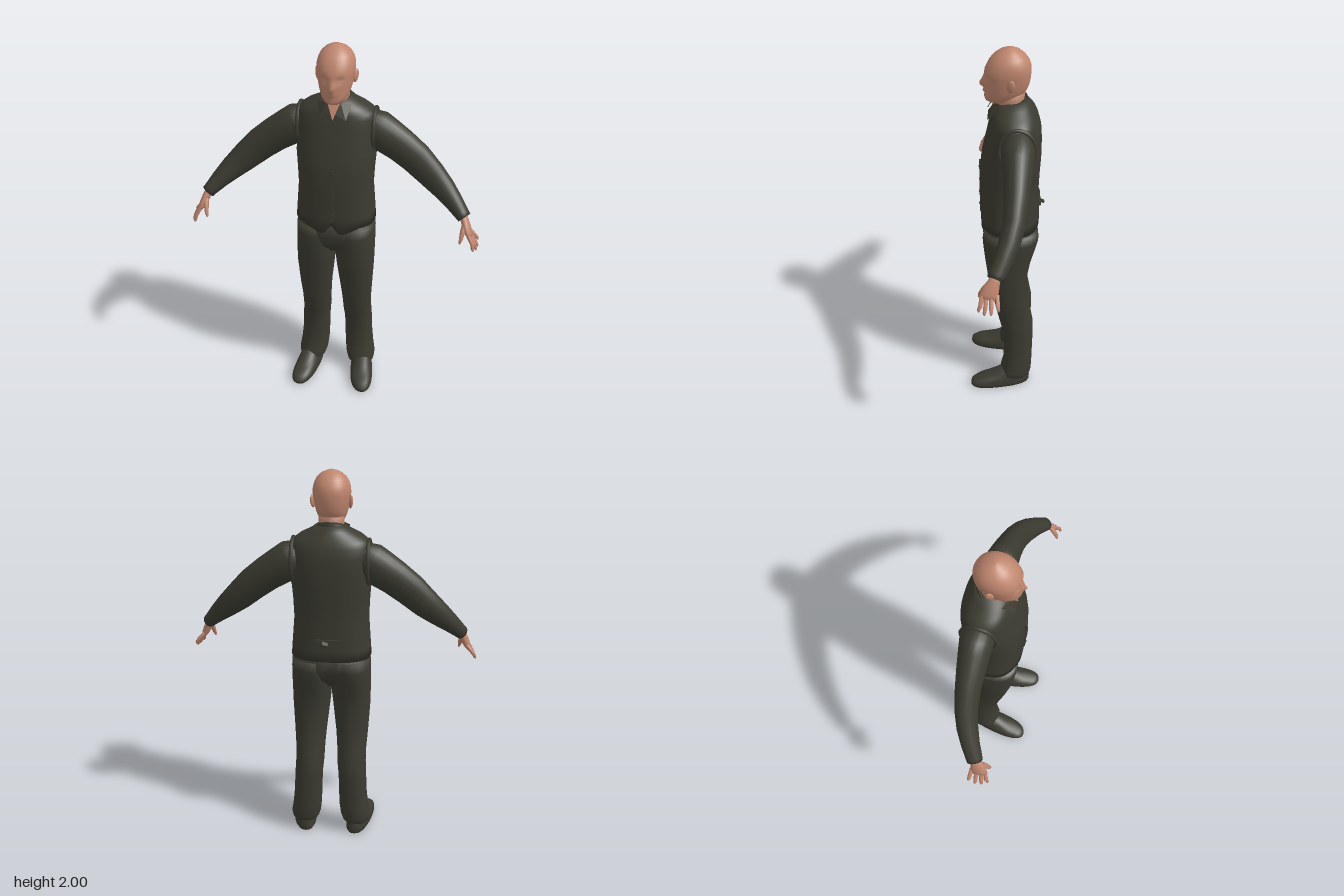
import * as THREE from 'three';

const V = (x, y, z) => new THREE.Vector3(x, y, z);
const UP = V(0, 1, 0), FRONT = V(0, 0, 1);

// Skin over superellipse rings [x, y, z, radiusA, radiusB, power]; rings follow the path or stay level.
function loft(rings, { seg = 24, follow = false, rule = null } = {}) {
  const pos = [], idx = [], n = rings.length;
  const at = i => V(...rings[Math.max(0, Math.min(n - 1, i))].slice(0, 3));
  rings.forEach(([x, y, z, ra, rb, p = 2], i) => {
    const t = follow ? at(i + 1).sub(at(i - 1)).normalize() : UP;
    const a = t.clone().cross(FRONT).normalize(), b = a.clone().cross(t);
    for (let j = 0; j < seg; j++) {
      const w = j / seg * Math.PI * 2, c = Math.cos(w), s = Math.sin(w);
      const q = V(x, y, z)
        .addScaledVector(a, ra * Math.sign(c) * Math.abs(c) ** (2 / p))
        .addScaledVector(b, rb * Math.sign(s) * Math.abs(s) ** (2 / p));
      if (rule) rule(q, i);
      pos.push(q.x, q.y, q.z);
    }
  });
  for (let i = 0; i < n - 1; i++) for (let j = 0; j < seg; j++) {
    const a = i * seg + j, b = i * seg + (j + 1) % seg;
    idx.push(a, a + seg, b, b, a + seg, b + seg);
  }
  // end caps
  [0, n - 1].forEach(i => {
    const k = pos.length / 3;
    pos.push(...at(i).toArray());
    for (let j = 0; j < seg; j++) {
      const a = i * seg + j, b = i * seg + (j + 1) % seg;
      idx.push(k, ...(i ? [b, a] : [a, b]));
    }
  });
  const g = new THREE.BufferGeometry();
  g.setAttribute('position', new THREE.Float32BufferAttribute(pos, 3));
  g.setIndex(idx);
  g.computeVertexNormals();
  return g;
}

// Level ring from left/right and front/back limits
const ring = (y, x0, x1, front, back, p) =>
  [(x0 + x1) / 2, y, (front + back) / 2, (x1 - x0) / 2, (front - back) / 2, p];
const bump = (d, w) => Math.exp(-((d / w) ** 2));

export function createModel() {
  const root = new THREE.Group();
  const material = (name, color, side = THREE.FrontSide) =>
    Object.assign(new THREE.MeshStandardMaterial({ color, side }), { name });
  const cloth = material('dark cloth', 0x3b3b31, THREE.DoubleSide);
  const skin = material('skin', 0xbf866e, THREE.DoubleSide);
  const add = (name, geo, mat, parent = root) => {
    const m = new THREE.Mesh(geo, mat);
    m.name = name;
    parent.add(m);
    return m;
  };

  // Head, with brow, eye sockets, nose and lips pushed out of the skull
  const skull = [
    [1.722, .03, .072, .0], [1.735, .05, .095, -.04], [1.755, .064, .104, -.075], [1.768, .07, .104, -.086],
    [1.782, .075, .104, -.097], [1.796, .079, .104, -.105], [1.81, .082, .104, -.111], [1.825, .085, .104, -.115],
    [1.84, .088, .103, -.118], [1.855, .09, .103, -.12], [1.87, .092, .102, -.121], [1.885, .094, .1, -.122],
    [1.91, .093, .092, -.121], [1.935, .087, .08, -.113], [1.96, .074, .06, -.096], [1.98, .054, .035, -.073],
    [1.993, .03, .008, -.048], [1.999, .01, -.01, -.028]];
  add('head', loft(skull.map(([y, w, f, b]) => ring(y, -w, w, f, b, 2.15)), {
    seg: 56,
    rule: q => {
      if (q.z < .03) return;
      const ax = Math.abs(q.x), y = q.y;
      const noseY = y < 1.815 ? bump(y - 1.815, .012) : bump(y - 1.815, .035);
      q.z += .024 * noseY * bump(q.x, .013)
        - .013 * bump(ax - .037, .017) * bump(y - 1.862, .013)
        + .004 * bump(ax - .035, .03) * bump(y - 1.886, .01)
        + .007 * bump(q.x, .022) * bump(y - 1.784, .009)
        - .005 * bump(q.x, .025) * bump(y - 1.768, .006)
        + .005 * bump(q.x, .022) * bump(y - 1.742, .012);
    },
  }), skin);
  add('neck', loft([
    [0, 1.6, -.02, .075, .075], [0, 1.68, -.022, .064, .066],
    [0, 1.74, -.025, .064, .066], [0, 1.8, -.03, .066, .068]]), skin);

  // Waistcoat, pointed at the front hem
  add('waistcoat', loft([
    ring(1.045, -.207, .207, .128, -.172, 2.5), ring(1.1, -.203, .203, .131, -.172, 2.5),
    ring(1.25, -.192, .192, .132, -.168, 2.4), ring(1.35, -.196, .196, .13, -.172, 2.4),
    ring(1.43, -.202, .202, .121, -.177, 2.4), ring(1.53, -.2, .2, .098, -.178, 2.4),
    ring(1.59, -.2, .2, .085, -.174, 2.4), ring(1.635, -.198, .198, .074, -.162, 2.4),
    ring(1.66, -.187, .187, .067, -.152, 2.3), ring(1.685, -.155, .155, .06, -.14, 2.2),
    ring(1.71, -.105, .105, .045, -.125, 2), ring(1.735, -.072, .072, .02, -.11, 2)], {
    seg: 64,
    rule: (q, i) => {
      const t = Math.abs(q.x);
      if (i === 0 && q.z > 0) q.y = t < .045 ? 1.065 - t / .045 * .06 : 1.005 + Math.min((t - .045) / .1, 1) * .045;
    },
  }), cloth);
  add('shirtCollar', loft([
    [0, 1.665, -.027, .095, .09], [0, 1.715, -.028, .081, .078], [0, 1.728, -.03, .072, .07],
    [0, 1.712, -.03, .068, .067]], {
    seg: 32, rule: q => { q.y -= (q.z + .03) * .42; },
  }), cloth);

  // Open neck
  const triangle = (...p) => {
    const g = new THREE.BufferGeometry().setFromPoints(p);
    g.computeVertexNormals();
    return g;
  };
  add('openNeck', triangle(V(-.032, 1.725, .052), V(0, 1.645, .088), V(.032, 1.725, .052)), skin);

  // Front closure and back strap
  const box = (name, w, h, d, x, y, z, rz = 0) => {
    const m = add(name, new THREE.BoxGeometry(w, h, d), cloth);
    m.position.set(x, y, z);
    m.rotation.z = rz;
    return m;
  };
  box('placket', .022, .3, .006, .004, 1.24, .131);
  for (let i = 0; i < 4; i++) {
    const b = add('button', new THREE.CylinderGeometry(.006, .006, .005, 10), cloth);
    b.position.set(.005, 1.13 + i * .075, .135);
    b.rotation.x = Math.PI / 2;
  }
  box('backStrap', .13, .016, .008, 0, 1.16, -.174);
  box('strapEnd', .03, .012, .03, .015, 1.15, -.182, .3).rotation.x = -.5;

  // Trouser seat
  add('trouserSeat', loft([
    ring(.87, -.1, .1, .07, -.09, 2), ring(.92, -.19, .19, .108, -.135, 2.3),
    ring(.98, -.203, .203, .122, -.162, 2.4), ring(1.09, -.199, .199, .124, -.166, 2.5)], {
    seg: 40, rule: q => { if (q.z < -.05) q.z += .015 * bump(q.x, .03) * Math.max(0, Math.min(1, (1.03 - q.y) * 10)); },
  }), cloth);

  for (const s of [1, -1]) {
    const side = new THREE.Group();
    side.name = s > 0 ? 'leftSide' : 'rightSide';
    root.add(side);
    const flip = rings => rings.map(([x, ...r]) => [s * x, ...r]);

    // Ear
    const ear = add('ear', new THREE.SphereGeometry(1, 14, 10), skin, side);
    ear.scale.set(.01, .034, .02);
    ear.position.set(s * .094, 1.842, -.022);
    ear.rotation.set(-.2, s * -.35, s * -.12);

    // Collar point
    add('collarPoint', triangle(
      V(s * .035, 1.728, .058), V(s * .014, 1.678, .086), V(s * .066, 1.652, .09),
      V(s * .035, 1.728, .058), V(s * .066, 1.652, .09), V(s * .085, 1.715, .03)), cloth, side);

    // Armhole edge
    const hole = add('armholeEdge', new THREE.TorusGeometry(1, .09, 8, 32), cloth, side);
    hole.scale.set(.088, .112, .11);
    hole.position.set(s * .19, 1.55, -.052);
    hole.rotation.set(0, s * Math.PI / 2, 0);

    // Sleeve
    add('sleeve', loft(flip([
      [.13, 1.59, -.055, .07, .07], [.2, 1.552, -.055, .098, .083], [.25, 1.518, -.053, .096, .078],
      [.32, 1.472, -.05, .09, .07], [.4, 1.41, -.044, .085, .062], [.48, 1.335, -.032, .075, .056],
      [.55, 1.272, -.008, .062, .052], [.61, 1.215, .023, .048, .046], [.655, 1.168, .052, .037, .042],
      [.668, 1.154, .06, .035, .04]]), { follow: true }), cloth, side);

    // Hand
    add('palm', loft(flip([
      [.65, 1.178, .05, .02, .024], [.67, 1.145, .064, .02, .028], [.683, 1.115, .078, .021, .038],
      [.697, 1.085, .088, .018, .042], [.706, 1.066, .092, .012, .038]]),
      { seg: 16, follow: true }), skin, side);
    [[.052, .745, 1.022], [.078, .747, 1.002], [.101, .742, 1.0], [.121, .728, 1.008]].forEach(([z, x, y], i) => {
      const tipZ = z + (z - .088) * .35 + .006;
      add('finger' + (i + 1), loft(flip([
        [.697, 1.085, z, .01, .011], [(.702 + x) / 2 + .006, (1.075 + y) / 2, (z + tipZ) / 2, .01, .0105],
        [x - .003, y + .01, tipZ, .008, .008], [x, y, tipZ, .003, .003]]), { seg: 10, follow: true }), skin, side);
    });
    add('thumb', loft(flip([
      [.674, 1.135, .085, .014, .014], [.667, 1.1, .112, .013, .013], [.662, 1.065, .13, .01, .011],
      [.658, 1.043, .137, .004, .004]]), { seg: 10, follow: true }), skin, side);

    // Trouser leg
    add('trouserLeg', loft(flip([
      ring(1.03, .0, .203, .115, -.165, 2.3), ring(.98, 0, .206, .122, -.168, 2.3),
      ring(.92, -.002, .207, .118, -.153, 2.3), ring(.84, 0, .207, .11, -.13, 2.3),
      ring(.76, .008, .206, .1, -.115, 2.3), ring(.6, .026, .197, .072, -.115, 2.2),
      ring(.5, .034, .19, .052, -.133, 2.2), ring(.42, .037, .19, .034, -.147, 2.2),
      ring(.35, .044, .194, .017, -.148, 2.2), ring(.24, .047, .199, .012, -.145, 2.2),
      ring(.16, .05, .207, .016, -.143, 2.2), ring(.1, .057, .217, .032, -.14, 2.2),
      ring(.07, .066, .214, .034, -.132, 2.2), ring(.058, .075, .205, .025, -.122, 2.2)].reverse())), cloth, side);

    // Shoe, turned slightly outward towards the toe
    add('shoe', loft([
      ring(0, .085, .195, .192, -.125, 2.5), ring(.012, .077, .203, .2, -.13, 2.5),
      ring(.03, .077, .203, .198, -.13, 2.5), ring(.046, .08, .2, .178, -.128, 2.4),
      ring(.06, .083, .197, .13, -.126, 2.3), ring(.08, .09, .19, .075, -.122, 2.2),
      ring(.12, .1, .18, .015, -.11, 2)].map(([x, ...r]) => [s * x, ...r]), {
      seg: 32, rule: q => { q.x += s * (.012 + .14 * q.z); },
    }), cloth, side);
  }
  return root;
}
